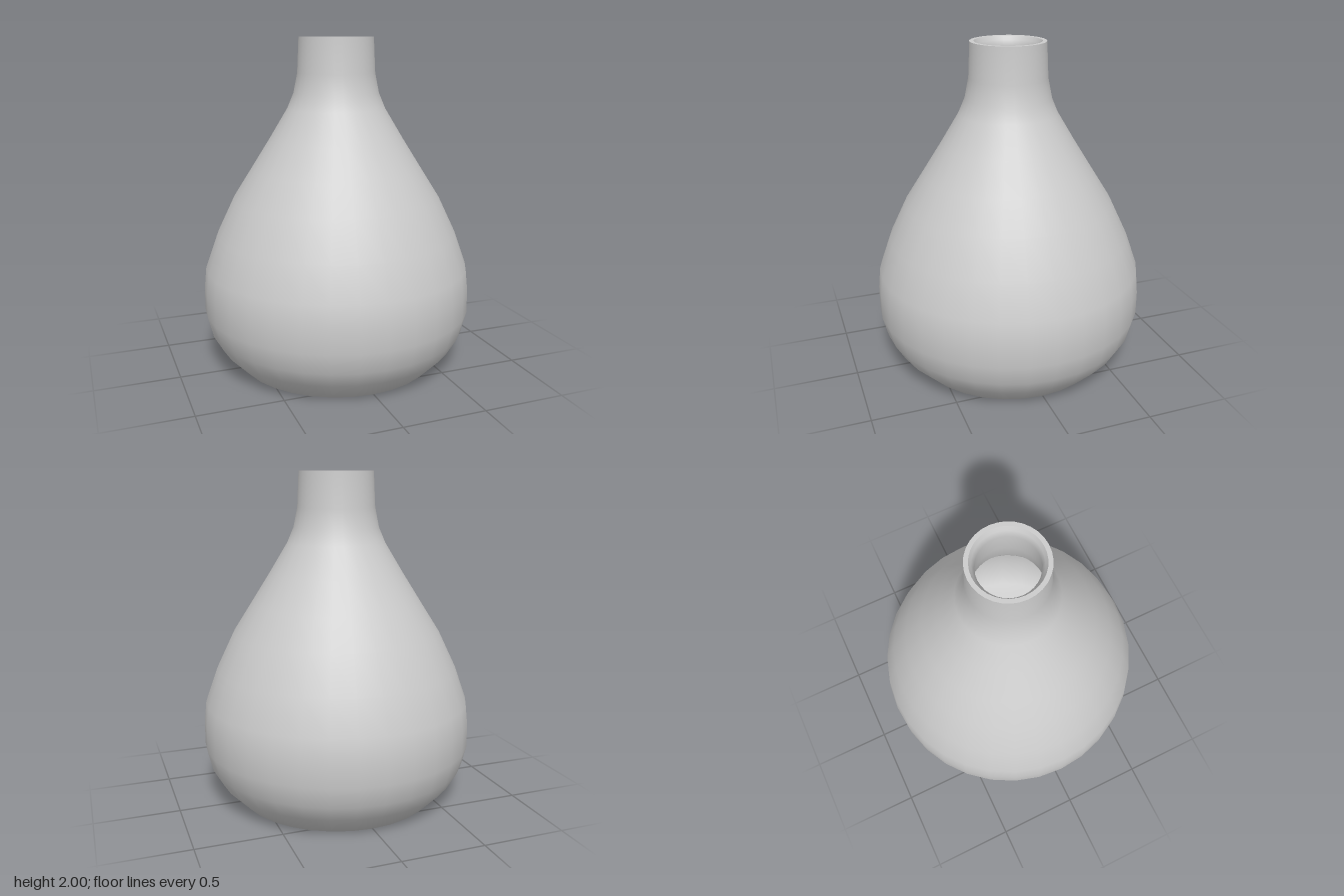
import * as THREE from 'three';

const SEGMENTS = 32;

// Turns a list of [radius, height] pairs into a smooth lathe mesh
function turned(name, points, material) {
  const profile = points.map(([r, y]) => new THREE.Vector2(r, y));
  const mesh = new THREE.Mesh(new THREE.LatheGeometry(profile, SEGMENTS), material);
  mesh.name = name;
  return mesh;
}

export function createModel() {
  const group = new THREE.Group();
  group.name = 'vase';
  const material = new THREE.MeshStandardMaterial({ color: 0xcccccc });

  // Outer wall: flat base, round belly, straight shoulder, narrow neck
  const outer = [
    [0, 0], [0.61, 0], [0.73, 0.125], [0.788, 0.225], [0.82, 0.35], [0.82, 0.49],
    [0.806, 0.62], [0.735, 0.82], [0.63, 1.04], [0.516, 1.22], [0.403, 1.4],
    [0.295, 1.58], [0.257, 1.67], [0.233, 1.79], [0.223, 2],
  ];
  group.add(turned('outerWall', outer, material));

  // Rim: flat lip
  group.add(turned('rim', [[0.223, 2], [0.198, 2]], material));

  // Inner wall: lip falls into the neck, then follows the body down to the floor
  const inner = [
    [0.198, 2], [0.185, 1.975], [0.17, 1.94], [0.18, 1.79], [0.205, 1.66], [0.25, 1.56],
    [0.355, 1.38], [0.585, 1.02], [0.685, 0.81], [0.755, 0.61], [0.77, 0.49],
    [0.77, 0.36], [0.74, 0.24], [0.69, 0.16], [0.59, 0.05], [0, 0.05],
  ];
  group.add(turned('innerWall', inner, material));

  return group;
}
